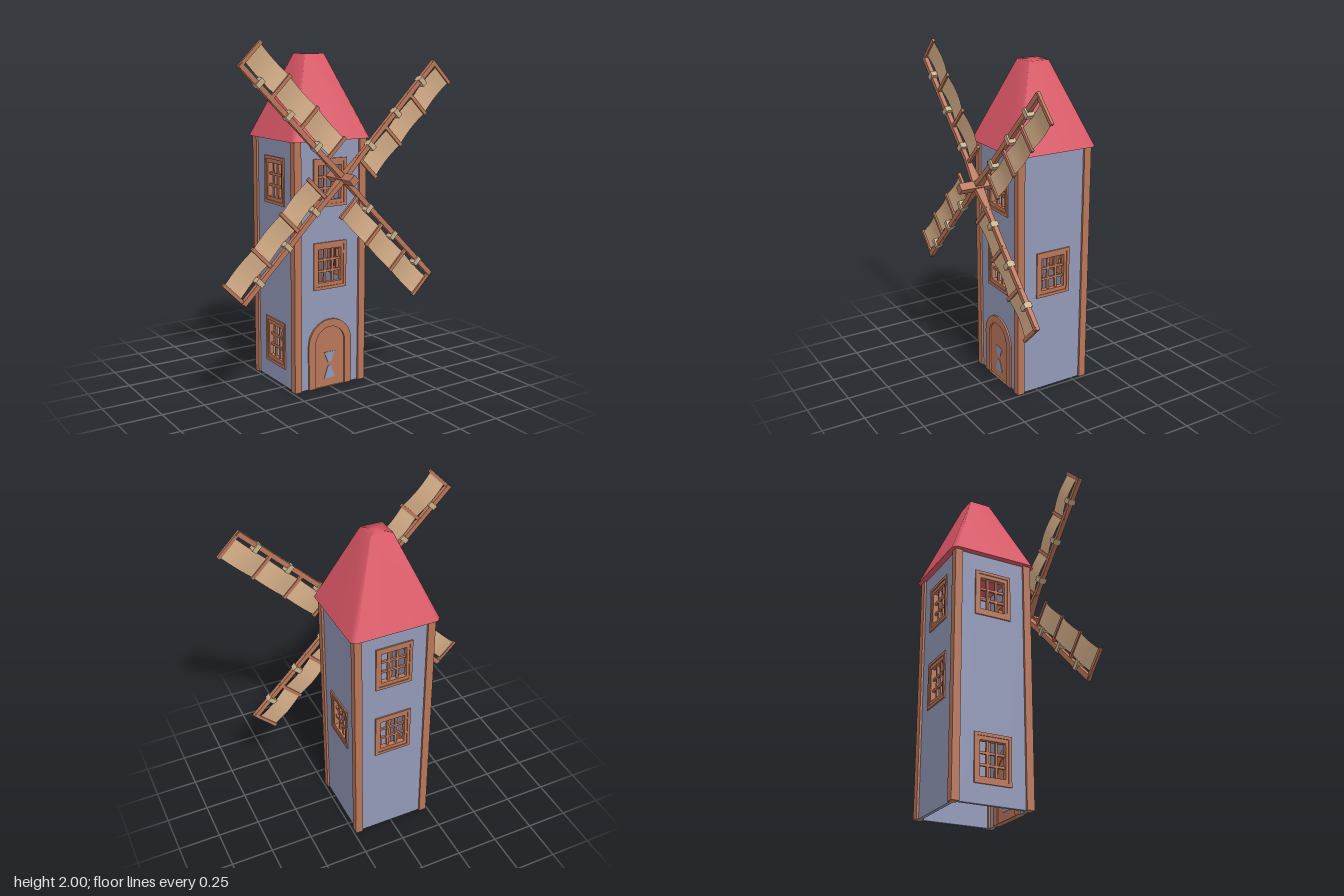
import * as THREE from 'three';

const mat = (name, color) => Object.assign(new THREE.MeshStandardMaterial({ color }), { name });

export function createModel() {
  const wallBlue = mat('wallBlue', 0x9298b8);
  const timber = mat('timber', 0xb9765a);
  const roofRed = mat('roofRed', 0xdb5766);
  const canvas = mat('canvas', 0xd4ad87);
  canvas.side = THREE.DoubleSide;
  const rope = mat('rope', 0xc8b08c);

  const model = new THREE.Group();
  model.name = 'windmill';

  const add = (parent, name, geometry, material, x = 0, y = 0, z = 0) => {
    const mesh = new THREE.Mesh(geometry, material);
    mesh.name = name;
    mesh.position.set(x, y, z);
    parent.add(mesh);
    return mesh;
  };
  const box = (w, h, d) => new THREE.BoxGeometry(w, h, d);
  const extrude = (shape, depth) =>
    new THREE.ExtrudeGeometry(shape, { depth, bevelEnabled: false, curveSegments: 16 });
  const polygon = (pts) => new THREE.Shape(pts.map(([x, y]) => new THREE.Vector2(x, y)));
  const rect = (w, h, y = 0) => polygon([[-w, y - h], [w, y - h], [w, y + h], [-w, y + h]]);
  const arch = (r, spring, bottom = 0) => {
    const s = new THREE.Shape();
    s.moveTo(-r, bottom);
    s.lineTo(r, bottom);
    s.lineTo(r, spring);
    s.absarc(0, spring, r, 0, Math.PI, false);
    s.closePath();
    return s;
  };
  const ring = (outer, inner) => {
    outer.holes.push(inner);
    return outer;
  };

  // Tower
  const HEIGHT = 1.45;
  const tower = new THREE.Group();
  tower.name = 'tower';
  tower.position.z = -0.105;
  model.add(tower);

  const addWindow = (face, y) => {
    const win = new THREE.Group();
    win.name = 'window';
    win.position.y = y;
    face.add(win);
    add(win, 'windowOuterFrame', extrude(ring(rect(0.11, 0.138), rect(0.092, 0.12)), 0.035), timber, 0, 0, 0.2);
    add(win, 'windowInnerFrame', extrude(ring(rect(0.092, 0.12), rect(0.076, 0.098)), 0.03), timber, 0, 0, 0.2);
    for (const s of [-1, 1]) {
      add(win, 'verticalBar', box(0.014, 0.2, 0.014), timber, s * 0.026, 0, 0.213);
      add(win, 'horizontalBar', box(0.156, 0.014, 0.012), timber, 0, s * 0.033, 0.213);
    }
  };

  const addDoor = (face) => {
    const door = new THREE.Group();
    door.name = 'door';
    face.add(door);
    add(door, 'doorFrame', extrude(ring(arch(0.145, 0.265), arch(0.1, 0.265, 0.0005)), 0.04), timber, 0, 0, 0.198);
    add(door, 'doorPanel', extrude(arch(0.1, 0.265), 0.024), timber, 0, 0, 0.203);
    // Inlays showing on both sides of the door
    const upper = [[-0.01, 0.145], [0.01, 0.145], [0.037, 0.21], [-0.037, 0.21]];
    const lower = [[-0.037, 0.05], [0.037, 0.05], [0.01, 0.125], [-0.01, 0.125]];
    for (const pts of [upper, lower])
      for (const z of [0.2, 0.225]) add(door, 'doorInlay', extrude(polygon(pts), 0.005), wallBlue, 0, 0, z);
  };

  // Four walls: front, right, back, left
  const LOW = 0.245, MID = 0.73, HIGH = 1.21;
  [[MID, HIGH], [MID], [MID, HIGH], [LOW, HIGH]].forEach((windows, i) => {
    const face = new THREE.Group();
    face.name = ['frontFace', 'starboardFace', 'backFace', 'portFace'][i];
    face.rotation.y = i * Math.PI / 2;
    tower.add(face);
    const wall = rect(0.205, HEIGHT / 2, HEIGHT / 2);
    windows.forEach((y) => wall.holes.push(rect(0.1, 0.128, y)));
    if (i === 0) {
      wall.holes.push(arch(0.12, 0.265, 0.001));
      addDoor(face);
    }
    add(face, 'wall', extrude(wall, 0.02), wallBlue, 0, 0, 0.207);
    windows.forEach((y) => addWindow(face, y));
  });

  for (const x of [-1, 1])
    for (const z of [-1, 1])
      add(tower, 'cornerPost', box(0.045, HEIGHT, 0.045), timber, x * 0.2175, HEIGHT / 2, z * 0.2175);

  // Roof: a chamfered square tapering to a small flat top
  const square = (h, c) => {
    const k = h - c;
    return [[h, -k], [h, k], [k, h], [-k, h], [-h, k], [-h, -k], [-k, -h], [k, -h]];
  };
  const base = square(0.263, 0.025);
  const crown = square(0.065, 0.004);
  const positions = [], index = [];
  base.forEach(([x, w]) => positions.push(x, HEIGHT, -w));
  crown.forEach(([x, w]) => positions.push(x, 1.925, -w));
  positions.push(0, 1.925, 0);
  for (let i = 0; i < 8; i++) {
    const j = (i + 1) % 8;
    index.push(i, j, 8 + i, j, 8 + j, 8 + i, 8 + i, 8 + j, 16);
  }
  const roof = new THREE.BufferGeometry();
  roof.setAttribute('position', new THREE.Float32BufferAttribute(positions, 3));
  roof.setIndex(index);
  roof.computeVertexNormals();
  add(tower, 'roof', roof, roofRed);
  add(tower, 'roofUnderside', new THREE.ShapeGeometry(polygon(base)), roofRed, 0, HEIGHT, 0).rotation.x = Math.PI / 2;

  // Sail wheel
  const wheel = new THREE.Group();
  wheel.name = 'sailWheel';
  wheel.position.set(0, 1.25, 0.253);
  model.add(wheel);
  add(wheel, 'axle', box(0.046, 0.046, 0.24), timber, 0, 0, -0.003).rotation.z = Math.PI / 4;

  // Two crossing beams, thicker toward the hub
  [0, 1].forEach((i) => {
    const beam = new THREE.BoxGeometry(0.028, 1.77, 0.026, 1, 4, 1);
    const p = beam.attributes.position;
    for (let v = 0; v < p.count; v++) {
      const y = p.getY(v);
      if (Math.abs(y) < 0.01) p.setZ(v, p.getZ(v) * (2.2 - 0.1 * i));
      else if (Math.abs(y) < 0.5) p.setY(v, Math.sign(y) * 0.18);
    }
    beam.computeVertexNormals();
    add(wheel, 'beam', beam, timber).rotation.z = Math.PI / 4 + i * Math.PI / 2;
  });

  // Four sails, each with ribs, billowing cloth and rope ties
  const START = 0.15, BAY = 0.243;
  for (let k = 0; k < 4; k++) {
    const sail = new THREE.Group();
    sail.name = 'sail';
    sail.rotation.z = -Math.PI / 4 - k * Math.PI / 2;
    wheel.add(sail);

    for (let i = 0; i < 4; i++)
      add(sail, 'rib', box(0.185, 0.02, 0.016), timber, 0.077, START + i * BAY, 0);

    const cloth = new THREE.PlaneGeometry(0.13, 3 * BAY, 1, 24);
    const p = cloth.attributes.position;
    for (let v = 0; v < p.count; v++) {
      const t = (p.getY(v) + 1.5 * BAY) / BAY;
      p.setZ(v, -0.014 * Math.abs(Math.sin(Math.PI * t)));
    }
    cloth.computeVertexNormals();
    add(sail, 'sailCloth', cloth, canvas, 0.097, START + 1.5 * BAY, 0);

    for (let i = 0; i < 3; i++)
      add(sail, 'ropeTie', box(0.052, 0.03, 0.046), rope, 0.01, 0.25 + i * 0.246, 0);
  }
  return model;
}
